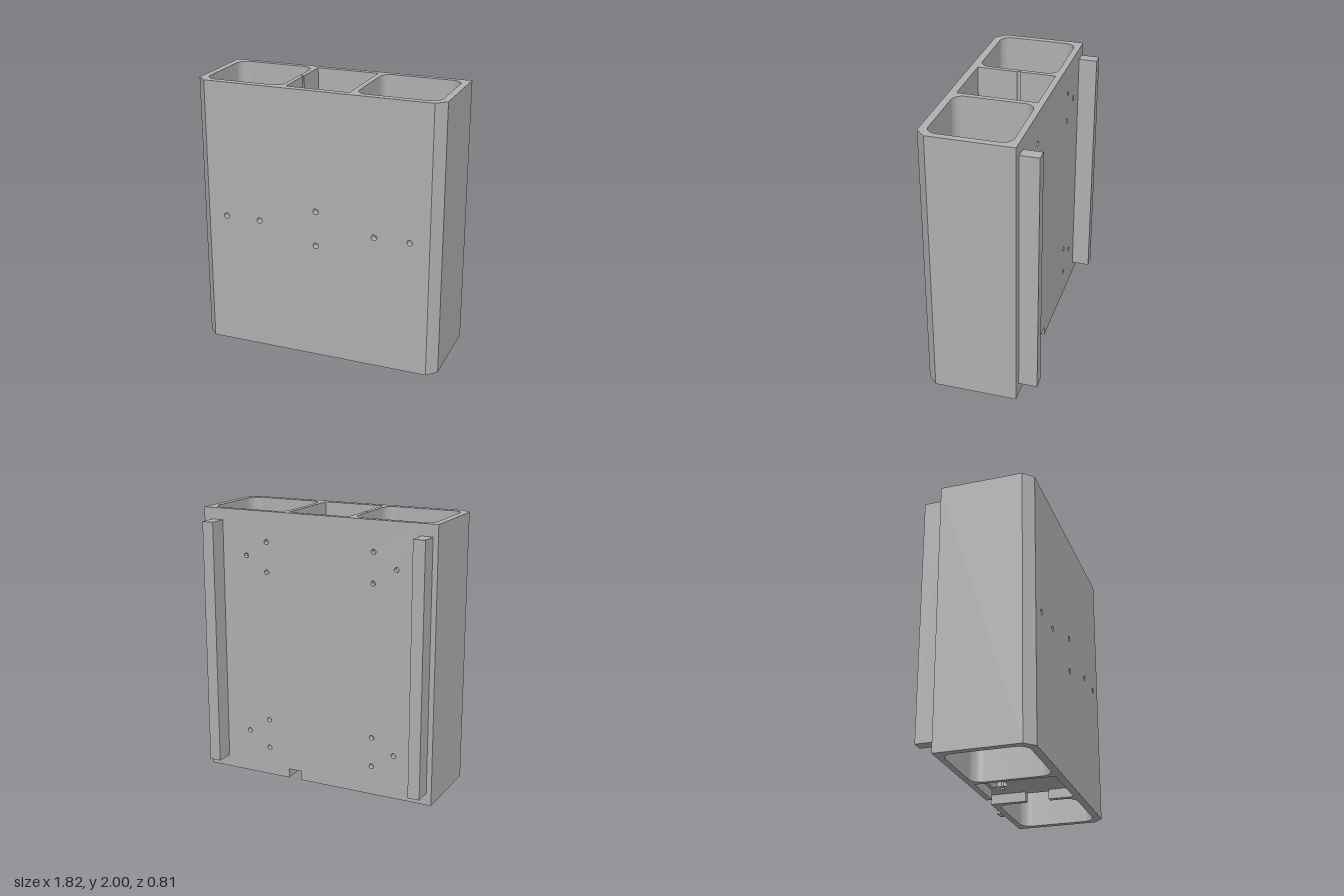
import * as THREE from 'three';
import { toCreasedNormals } from 'three/addons/utils/BufferGeometryUtils.js';

const HEIGHT = 2;
const BACK = -0.27, FRONT = 0.405;         // outer faces
const IN_BACK = -0.225, IN_FRONT = 0.35;   // inner faces of back and front walls
const R = 0.08;                            // corner radius of the side bays
const SEAM = 0.78;                         // where the flat panels meet the end walls

export function createModel() {
  const model = new THREE.Group();
  const grey = new THREE.MeshStandardMaterial({ color: 0xb0b0b0 });
  grey.name = 'grey plastic';

  function add(name, geometry, parent = model) {
    const mesh = new THREE.Mesh(geometry, grey);
    mesh.name = name;
    parent.add(mesh);
    return mesh;
  }

  // points of an arc in plan (x, z), angles in quarter turns
  function arc(cx, cz, r, from, to, n = 10) {
    return Array.from({ length: n + 1 }, (_, i) => {
      const a = (from + (to - from) * i / n) * Math.PI / 2;
      return [cx + r * Math.cos(a), cz + r * Math.sin(a)];
    });
  }

  // upright prism from a plan outline, optionally mirrored in x
  function prism(points, y0, y1, side = 1, holes = []) {
    const toVec = ([x, z]) => new THREE.Vector2(x * side, -z);
    const shape = new THREE.Shape(points.map(toVec));
    holes.forEach(h => shape.holes.push(new THREE.Path(h.map(toVec))));
    const g = new THREE.ExtrudeGeometry(shape, { depth: y1 - y0, bevelEnabled: false });
    g.rotateX(-Math.PI / 2).translate(0, y0, 0);
    return toCreasedNormals(g, 0.5);
  }

  // upright panel in the xy plane with drilled holes
  function panel(points, drills, r, z0, z1) {
    const shape = new THREE.Shape(points.map(([x, y]) => new THREE.Vector2(x, y)));
    for (const [x, y] of drills) {
      shape.holes.push(new THREE.Path().absarc(x, y, r, 0, Math.PI * 2, true));
    }
    const g = new THREE.ExtrudeGeometry(shape, { depth: z1 - z0, bevelEnabled: false, curveSegments: 20 });
    g.translate(0, 0, z0);
    return toCreasedNormals(g, 0.5);
  }

  // front panel with six screw holes
  add('frontPanel', panel(
    [[-SEAM, 0], [SEAM, 0], [SEAM, HEIGHT], [-SEAM, HEIGHT]],
    [[-0.7, 1], [-0.437, 1], [0.437, 1], [0.697, 1], [0, 1.13], [0, 0.87]],
    0.021, IN_FRONT, FRONT));

  // back panel with four triangles of screw holes and a cable notch at the foot
  const backDrills = [];
  for (const y of [0.325, 1.67]) {
    for (const [inner, outer] of [[0.395, 0.562], [-0.445, -0.617]]) {
      backDrills.push([outer, y], [inner, y + 0.11], [inner, y - 0.11]);
    }
  }
  add('backPanel', panel(
    [[-SEAM, 0], [0.126, 0], [0.126, 0.07], [0.23, 0.07], [0.23, 0],
      [SEAM, 0], [SEAM, HEIGHT], [-SEAM, HEIGHT]],
    backDrills, 0.018, BACK, IN_BACK));

  // end walls with chamfered front corners and rounded inner corners
  const endPlan = [
    [SEAM, BACK], [0.91, BACK], [0.91, 0.335], [0.84, FRONT], [SEAM, FRONT],
    ...arc(SEAM, IN_FRONT - R, R, 1, 0),
    ...arc(SEAM, IN_BACK + R, R, 0, -1),
  ];
  add('leftEndWall', prism(endPlan, 0, HEIGHT));
  add('rightEndWall', prism(endPlan, 0, HEIGHT, -1));

  // dividers between the centre bay and the side bays
  const bayX = 0.27;
  const backFillet = arc(bayX + R, IN_BACK + R, R, -1, -2);
  const frontFillet = arc(bayX + R, IN_FRONT - R, R, 2, 1);
  const notchBack = -0.005, notchFront = 0.165, notchTop = 0.07;

  const left = new THREE.Group();
  left.name = 'leftDivider';
  model.add(left);
  add('dividerWall', prism(
    [[0.23, IN_BACK], ...backFillet, ...frontFillet, [0.23, IN_FRONT]], notchTop, HEIGHT), left);
  add('dividerBackFoot', prism(
    [[0.23, IN_BACK], ...backFillet, [bayX, notchBack], [0.23, notchBack]], 0, notchTop), left);
  add('dividerFrontFoot', prism(
    [[0.23, notchFront], [bayX, notchFront], ...frontFillet, [0.23, IN_FRONT]], 0, notchTop), left);

  // right divider has a narrow upright groove
  add('rightDivider', prism(
    [[0.235, IN_BACK], ...backFillet, ...frontFillet, [0.235, IN_FRONT],
      [0.235, 0.055], ...arc(0.245, 0.045, 0.01, 1, -1, 8), [0.235, 0.035]],
    0, HEIGHT, -1));

  // recessed floor of the centre bay with a cable opening and two screw holes
  add('bayFloor', prism(
    [[-0.235, IN_BACK], [0.23, IN_BACK], [0.23, IN_FRONT], [-0.235, IN_FRONT]],
    0.07, 0.115, 1, [
      [[-0.06, -0.195], [0.055, -0.195], [0.055, -0.08], [-0.06, -0.08]],
      arc(-0.108, -0.14, 0.012, 0, 3.8, 19),
      arc(0.106, -0.14, 0.012, 0, 3.8, 19),
    ]));

  // mounting rails on the back
  for (const [name, x] of [['leftRail', 0.798], ['rightRail', -0.829]]) {
    add(name, new THREE.BoxGeometry(0.087, 1.825, 0.135)).position.set(x, 1.0025, -0.3375);
  }

  return model;
}
